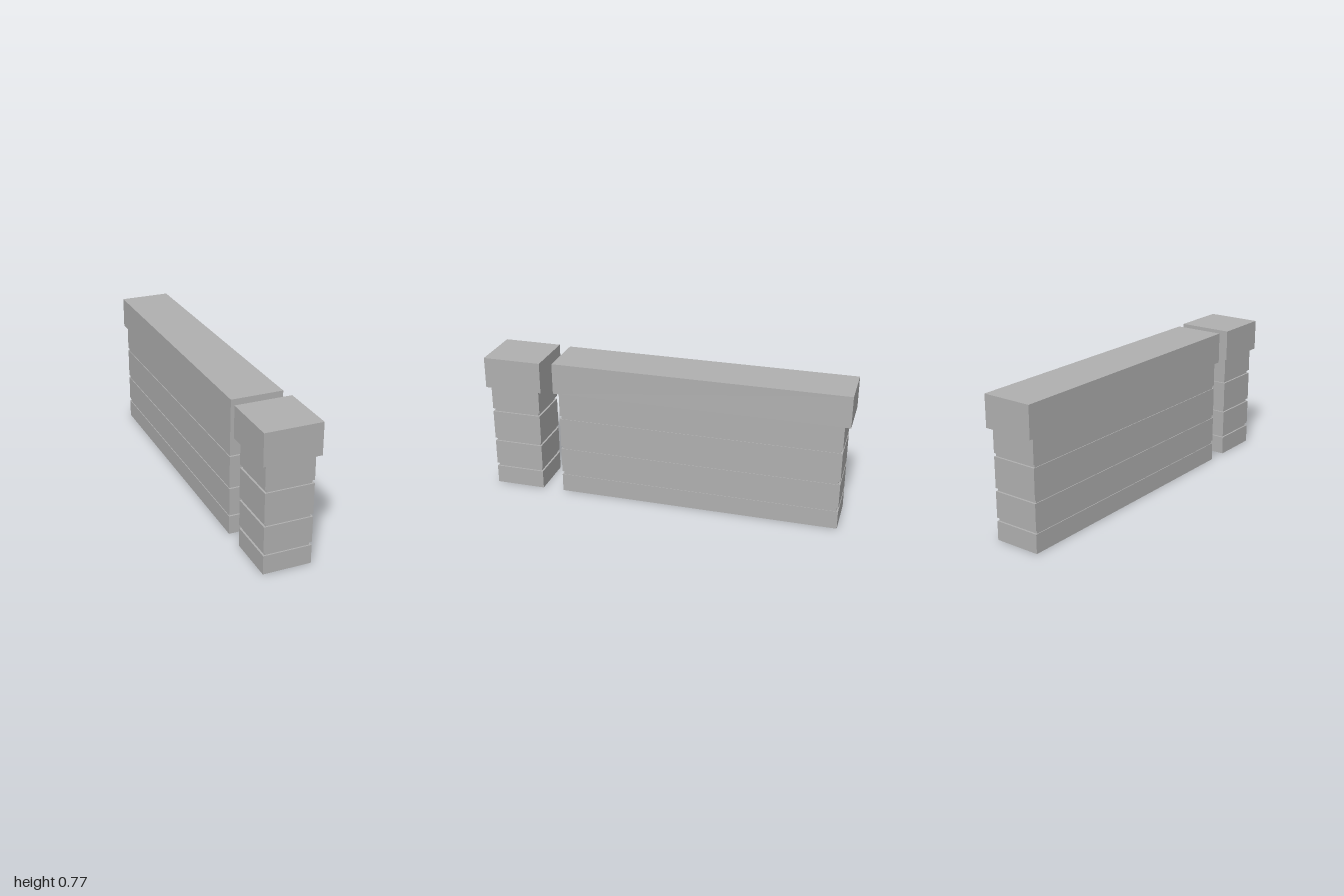
import * as THREE from 'three';

const stone = new THREE.MeshStandardMaterial({ color: 0xb0b0b0 });
stone.name = 'grey stone';

// Heights of the stone courses, separated by recessed joints
const courses = [[0, 0.103], [0.121, 0.263], [0.28, 0.445], [0.463, 0.598]];
const capBottom = 0.598, capTop = 0.77;

// Box given by its [min, max] extents
function block(name, [x0, x1], [y0, y1], [z0, z1]) {
  const mesh = new THREE.Mesh(new THREE.BoxGeometry(x1 - x0, y1 - y0, z1 - z0), stone);
  mesh.position.set((x0 + x1) / 2, (y0 + y1) / 2, (z0 + z1) / 2);
  mesh.name = name;
  return mesh;
}

// Stacked courses with recessed joints between them and an overhanging cap
function masonry(name, { body, joint, cap }) {
  const group = new THREE.Group();
  group.name = name;
  courses.forEach((y, i) => {
    group.add(block('course', body.x, y, body.z));
    const next = courses[i + 1];
    if (next) group.add(block('joint', joint.x, [y[1], next[0]], joint.z));
  });
  group.add(block('cap', cap.x, [capBottom, capTop], cap.z));
  return group;
}

export function createModel() {
  const model = new THREE.Group();
  model.name = 'stoneWallWithPost';
  model.add(
    masonry('post', {
      body: { x: [-0.13, 0.13], z: [0.702, 0.98] },
      joint: { x: [-0.12, 0.12], z: [0.712, 0.972] },
      cap: { x: [-0.153, 0.153], z: [0.678, 1] },
    }),
    masonry('wall', {
      body: { x: [-0.131, 0.127], z: [-0.968, 0.583] },
      joint: { x: [-0.127, 0.124], z: [-0.957, 0.573] },
      cap: { x: [-0.142, 0.138], z: [-1, 0.612] },
    }),
  );
  return model;
}
